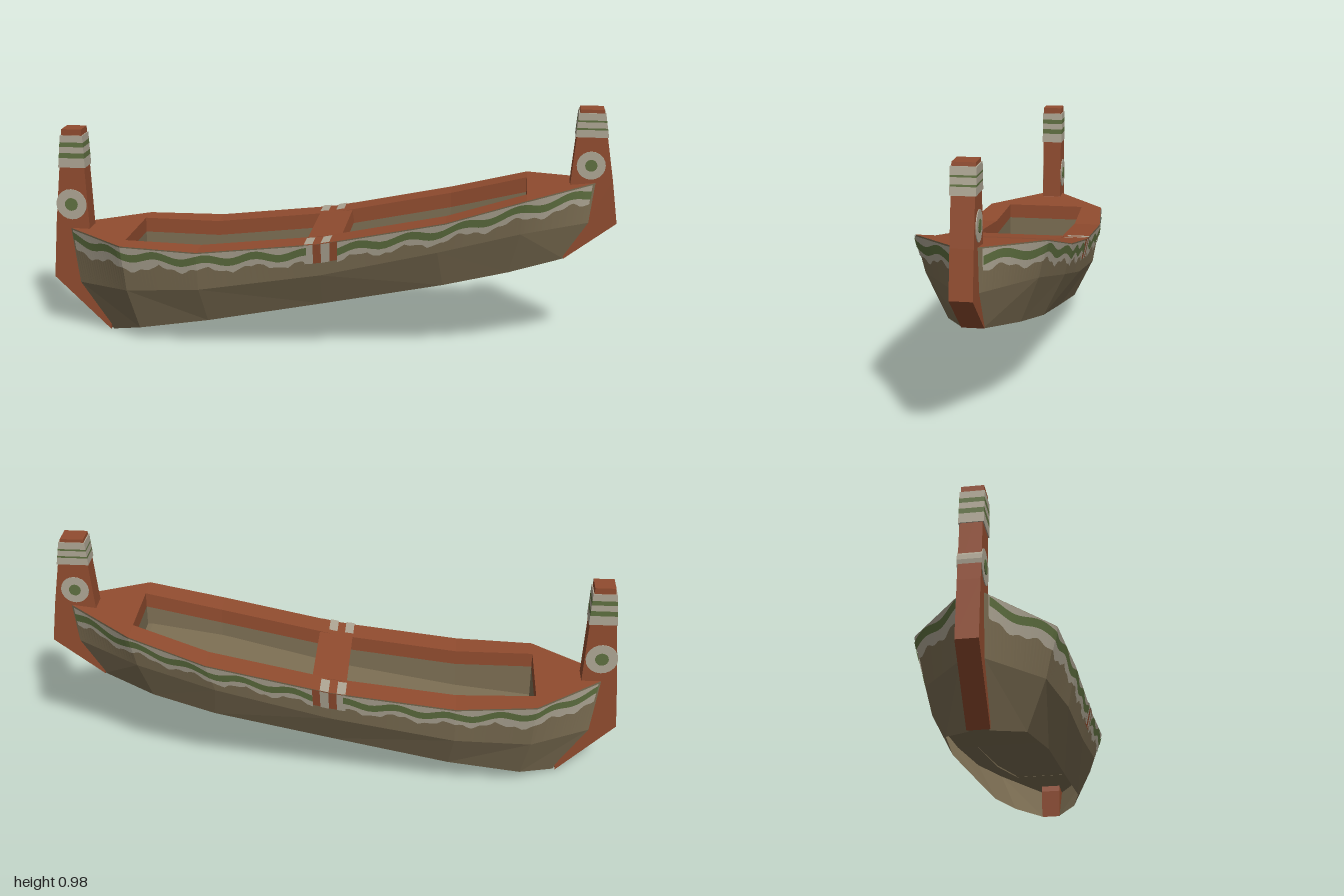
import * as THREE from 'three';

const mat = (name, color) => {
  const m = new THREE.MeshStandardMaterial({ color, side: THREE.DoubleSide, flatShading: true });
  m.name = name;
  return m;
};

export function createModel() {
  const model = new THREE.Group();
  model.name = 'canoe';
  const boat = new THREE.Group();
  boat.name = 'boat';
  boat.rotation.y = Math.PI / 6;
  model.add(boat);

  const wood = mat('redWood', 0x914c2f);
  const hull = mat('brownHull', 0x7c6e53);
  const pale = mat('palePaint', 0xaea694);
  const green = mat('greenPaint', 0x5f7040);

  const add = (name, geometry, material) => {
    const mesh = new THREE.Mesh(geometry, material);
    mesh.name = name;
    boat.add(mesh);
    return mesh;
  };

  // Ruled surface between two polylines with the same number of points
  const strip = (name, material, a, b) => {
    const pos = [];
    for (let i = 0; i < a.length - 1; i++) {
      for (const p of [a[i], b[i], b[i + 1], a[i], b[i + 1], a[i + 1]]) pos.push(...p);
    }
    const g = new THREE.BufferGeometry();
    g.setAttribute('position', new THREE.Float32BufferAttribute(pos, 3));
    g.computeVertexNormals();
    return add(name, g, material);
  };

  // Hull stations from stern to bow: [half width, height, length position]
  const top = [[0.04, 0.43, -1.05], [0.25, 0.425, -0.79], [0.278, 0.42, -0.48], [0.278, 0.475, 0],
    [0.278, 0.575, 0.48], [0.23, 0.66, 0.78], [0.04, 0.69, 1.04]];
  const mid = [[0.04, 0.2, -1.02], [0.21, 0.23, -0.78], [0.25, 0.26, -0.48], [0.25, 0.34, 0],
    [0.25, 0.45, 0.45], [0.2, 0.52, 0.76], [0.04, 0.53, 1.02]];
  const keel = [[0.035, 0, -0.89], [0.14, 0.05, -0.75], [0.175, 0.108, -0.46], [0.175, 0.2, 0],
    [0.175, 0.297, 0.47], [0.13, 0.345, 0.72], [0.035, 0.38, 0.93]];
  const innerWidth = [0.163, 0.17, 0.172, 0.172, 0.132];

  const flip = (points, side) => points.map(([x, y, z]) => [x * side, y, z]);
  const lerp = (a, b, t) => a.map((v, i) => v + (b[i] - v) * t);
  const along = (line, s) => {
    const i = Math.min(Math.floor(s), line.length - 2);
    return lerp(line[i], line[i + 1], s - i);
  };
  // Point on the upper hull side, a given depth below the deck edge
  const sidePoint = (s, depth, offset) => {
    const a = along(top, s), b = along(mid, s);
    const p = lerp(a, b, depth / (a[1] - b[1]));
    const slope = s < 1 ? -0.6 : s > 5 ? 0.6 : 0;
    return [p[0] + offset, p[1], p[2] + offset * slope];
  };
  const steps = (from, to) => {
    const list = [];
    for (let k = from; k <= to; k++) list.push(k / 20);
    return list;
  };
  const paint = (name, material, samples, upper, lower, offset, side) =>
    strip(name, material,
      flip(samples.map((s) => sidePoint(s, upper(s), offset)), side),
      flip(samples.map((s) => sidePoint(s, lower(s), offset)), side));

  const inner = innerWidth.map((w, i) => [w, top[i + 1][1], top[i + 1][2]]);
  const drop = inner.map(([x, y, z]) => [x, y - 0.06, z]);
  const foot = inner.map(([x, , z], i) => [x, mid[i + 1][1], z]);
  const wave = (s) => 0.037 + 0.011 * Math.sin((along(top, s)[2] * Math.PI * 2) / 0.2);
  const scallop = (s) => {
    const z = along(top, s)[2];
    return 0.078 + 0.012 * Math.sin((z * Math.PI * 2) / 0.2) + 0.006 * Math.sin(z * 90) + (s < 1.5 ? 0.015 : 0);
  };

  for (const side of [1, -1]) {
    // Hull sides
    const all = steps(0, 120);
    strip('upperHullSide', hull, flip(all.map((s) => along(top, s)), side),
      flip(all.map((s) => along(mid, s)), side));
    strip('lowerHullSide', hull, flip(mid, side), flip(keel, side));

    // Gunwale and cockpit walls
    strip('gunwale', wood, flip(top.slice(1, 6), side), flip(inner, side));
    strip('gunwaleInnerEdge', wood, flip(inner, side), flip(drop, side));
    strip('cockpitWall', hull, flip(drop, side), flip(foot, side));

    // Painted band with a wavy line, in two lengths
    for (const [from, to] of [[1, 58], [63, 119]]) {
      const s = steps(from, to);
      paint('paleBand', pale, s, () => 0.004, scallop, 0.004, side);
      paint('greenWave', green, s, (v) => wave(v) - 0.016, (v) => wave(v) + 0.016, 0.007, side);
    }

    // Lashing marks amidships
    paint('lashingGround', wood, steps(58, 63), () => 0, () => 0.08, 0.003, side);
    for (const z of [-0.04, 0.025]) {
      const ends = [z - 0.017, z + 0.017];
      paint('lashingMark', pale, ends.map((v) => 3 + v / 0.48), () => 0, () => 0.08, 0.006, side);
      const edge = ends.map((v) => along(top, 3 + v / 0.48));
      strip('lashingDeckMark', pale,
        flip(edge.map((p) => [0.195, p[1] + 0.004, p[2]]), side),
        flip(edge.map((p) => [0.283, p[1] + 0.004, p[2]]), side));
    }
  }

  // End decks, cockpit end walls and floor
  const across = (name, material, line) => strip(name, material, line, flip(line, -1));
  across('sternDeck', wood, top.slice(0, 2));
  across('bowDeck', wood, top.slice(5));
  for (const i of [0, 4]) {
    across('cockpitEndEdge', wood, [inner[i], drop[i]]);
    across('cockpitEndWall', hull, [drop[i], foot[i]]);
  }
  across('floor', hull, mid);

  // Seat plank across the middle
  const thwart = add('thwart', new THREE.BoxGeometry(0.36, 0.05, 0.135), wood);
  thwart.position.set(0, 0.454, 0.015);
  thwart.rotation.x = -0.14;

  // Slab cut from a side outline given as [length position, height]
  const slab = (name, material, outline, width) => {
    const shape = new THREE.Shape(outline.map(([z, y]) => new THREE.Vector2(z, y)));
    const g = new THREE.ExtrudeGeometry(shape, { depth: width, bevelEnabled: false });
    g.translate(0, 0, -width / 2);
    g.rotateY(-Math.PI / 2);
    return add(name, g, material);
  };

  // Stem and stern posts with painted bands and medallions
  const posts = [
    {
      name: 'bowPost',
      outline: [[0.93, 0.38], [1.128, 0.53], [1.105, 0.7], [1.06, 0.975], [0.97, 0.975], [0.945, 0.69], [0.92, 0.5]],
      faces: [[1.105, 0.7, 1.06, 0.975], [0.945, 0.69, 0.97, 0.975]],
      bands: [[0.868, 0.897, pale], [0.897, 0.904, green], [0.904, 0.927, pale], [0.927, 0.934, green], [0.934, 0.962, pale]],
      disc: [1.02, 0.758, 0.055],
    },
    {
      name: 'sternPost',
      outline: [[-0.9, 0], [-1.128, 0.22], [-1.11, 0.45], [-1.07, 0.84], [-0.99, 0.84], [-0.972, 0.43], [-0.88, 0.2]],
      faces: [[-1.11, 0.45, -1.07, 0.84], [-0.972, 0.43, -0.99, 0.84]],
      bands: [[0.683, 0.722, pale], [0.722, 0.743, green], [0.743, 0.768, pale], [0.768, 0.787, green], [0.787, 0.815, pale]],
      disc: [-1.043, 0.53, 0.063],
    },
  ];
  for (const { name, outline, faces, bands, disc } of posts) {
    slab(name, wood, outline, 0.08);
    const edge = (f, y) => f[0] + ((f[2] - f[0]) * (y - f[1])) / (f[3] - f[1]);
    for (const [y0, y1, m] of bands) {
      const pad = 0.004 * Math.sign(faces[0][0] - faces[1][0]);
      slab(name + 'Band', m, [[edge(faces[0], y0) + pad, y0], [edge(faces[0], y1) + pad, y1],
        [edge(faces[1], y1) - pad, y1], [edge(faces[1], y0) - pad, y0]], 0.088);
    }
    for (const [scale, width, m] of [[1, 0.086, pale], [0.42, 0.091, green]]) {
      const g = new THREE.CylinderGeometry(disc[2] * scale, disc[2] * scale, width, 20);
      g.rotateZ(Math.PI / 2);
      add(name + 'Medallion', g, m).position.set(0, disc[1], disc[0]);
    }
  }

  return model;
}
